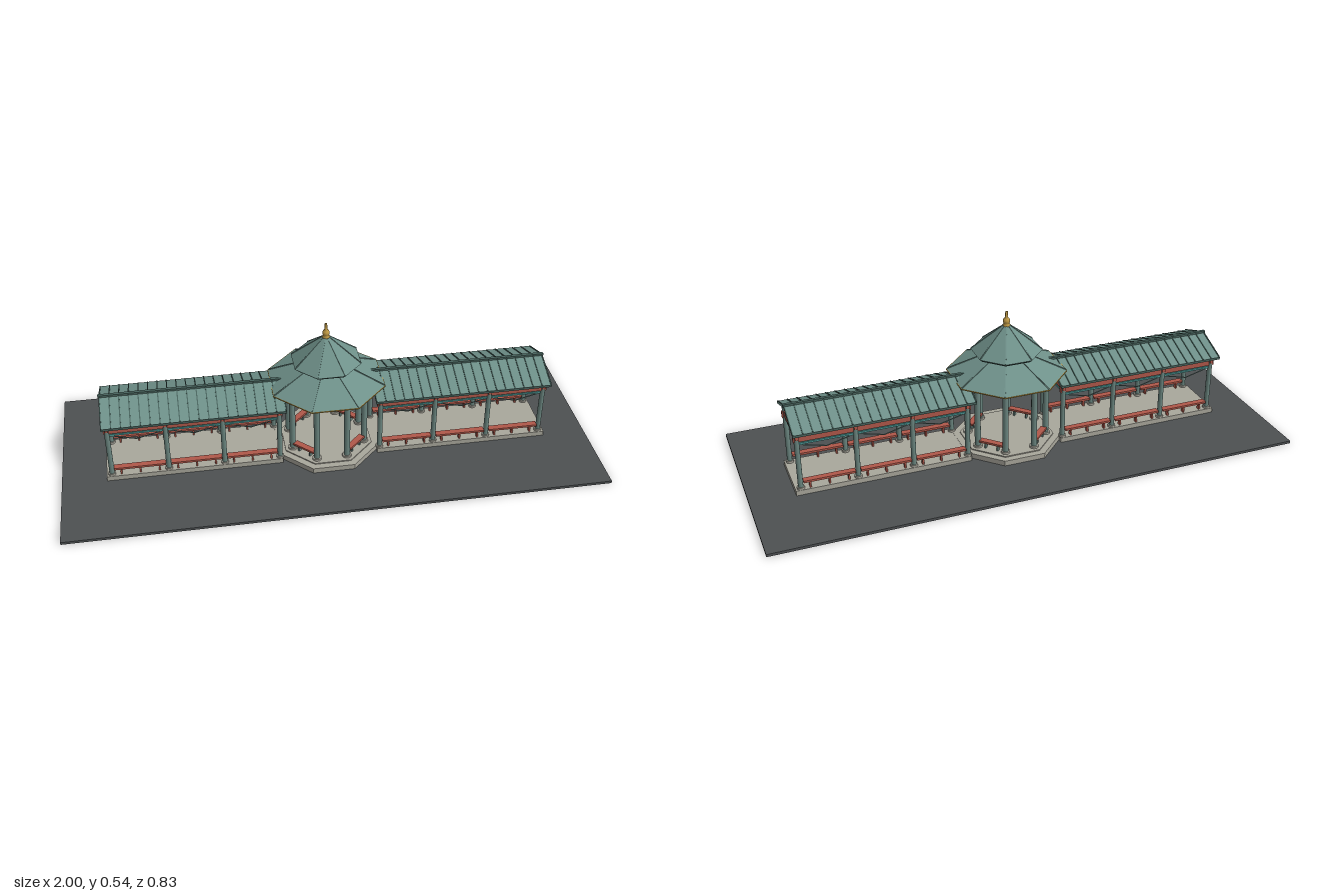
import * as THREE from 'three';

const mat = (name, color) => Object.assign(new THREE.MeshStandardMaterial({ color }), { name });
const M = {
  paving: mat('dark paving', 0x4d5052),
  stone: mat('pale stone', 0xa9a79c),
  column: mat('grey green paint', 0x6b8680),
  roof: mat('green roof tile', 0x6f918a),
  rib: mat('dark roof tile', 0x48645e),
  red: mat('red timber', 0xb0584a),
  teal: mat('teal timber', 0x4b9794),
  gold: mat('gold', 0xc09a45),
};

const COS8 = Math.cos(Math.PI / 8);

function add(parent, name, geo, material, x = 0, y = 0, z = 0) {
  const m = new THREE.Mesh(geo, material);
  m.name = name;
  m.position.set(x, y, z);
  parent.add(m);
  return m;
}

// Box given by its centre in x and z and its bottom and top heights
const box = (p, name, material, w, d, y0, y1, x = 0, z = 0) =>
  add(p, name, new THREE.BoxGeometry(w, y1 - y0, d), material, x, (y0 + y1) / 2, z);

const post = (p, name, material, r, y0, y1, x, z, sides = 14) =>
  add(p, name, new THREE.CylinderGeometry(r, r, y1 - y0, sides), material, x, (y0 + y1) / 2, z);

// Flat-faced octagonal frustum, sized by the distance from centre to its flats
function octagon(p, name, material, bottom, top, y0, y1) {
  const g = new THREE.CylinderGeometry(top / COS8, bottom / COS8, y1 - y0, 8)
    .rotateY(Math.PI / 8).toNonIndexed();
  g.computeVertexNormals();
  return add(p, name, g, material, 0, (y0 + y1) / 2, 0);
}

// Thin square bar between two points
function bar(p, name, material, a, b, t) {
  const A = new THREE.Vector3(...a), B = new THREE.Vector3(...b);
  const m = add(p, name, new THREE.BoxGeometry(t, t, A.distanceTo(B)), material);
  m.position.copy(A).add(B).multiplyScalar(0.5);
  m.lookAt(B);
  return m;
}

function footedColumn(p, r, y0, y1, x, z) {
  post(p, 'columnBase', M.stone, r * 1.5, y0, y0 + 0.008, x, z);
  post(p, 'column', M.column, r, y0, y1, x, z);
}

function createPavilion() {
  const g = new THREE.Group();
  g.name = 'pavilion';
  octagon(g, 'lowerPlatform', M.stone, 0.19, 0.19, 0.01, 0.03);
  octagon(g, 'upperPlatform', M.stone, 0.165, 0.165, 0.03, 0.034);

  // Eight sides: column, beams, bench and gilded eave
  for (let i = 0; i < 8; i++) {
    const a = (i + 0.5) * Math.PI / 4;
    footedColumn(g, 0.0115, 0.034, 0.297, 0.148 * Math.sin(a), 0.148 * Math.cos(a));
    post(g, 'upperPost', M.red, 0.0055, 0.355, 0.385, 0.074 * Math.sin(a), 0.074 * Math.cos(a), 8);

    const side = new THREE.Group();
    side.name = 'pavilionSide';
    side.rotation.y = i * Math.PI / 4;
    g.add(side);
    box(side, 'frieze', M.red, 0.108, 0.012, 0.274, 0.296, 0, 0.137);
    box(side, 'lowerRail', M.teal, 0.108, 0.007, 0.26, 0.27, 0, 0.137);
    box(side, 'goldEave', M.gold, 0.172, 0.003, 0.3, 0.304, 0, 0.2065);
    if (i % 2) {
      box(side, 'benchSeat', M.red, 0.095, 0.024, 0.056, 0.064, 0, 0.134);
      for (const x of [-0.025, 0.025]) box(side, 'benchLeg', M.column, 0.006, 0.014, 0.034, 0.056, x, 0.134);
    }
    // Hip ridges on both roofs
    const hip = (r, y) => [r / COS8 * Math.sin(a), y, r / COS8 * Math.cos(a)];
    bar(g, 'lowerHip', M.roof, hip(0.204, 0.306), hip(0.084, 0.363), 0.004);
    bar(g, 'upperHip', M.roof, hip(0.122, 0.39), hip(0.012, 0.484), 0.0035);
  }

  octagon(g, 'lowerEave', M.rib, 0.198, 0.206, 0.294, 0.304);
  octagon(g, 'lowerRoof', M.roof, 0.206, 0.084, 0.304, 0.363);
  octagon(g, 'upperEave', M.rib, 0.113, 0.123, 0.378, 0.388);
  octagon(g, 'upperRoof', M.roof, 0.123, 0.011, 0.388, 0.486);

  // Finial
  const profile = [[0, 0.478], [0.014, 0.478], [0.014, 0.488], [0.009, 0.491], [0.013, 0.498],
    [0.0135, 0.504], [0.011, 0.511], [0.005, 0.516], [0.0045, 0.54], [0, 0.54]];
  add(g, 'finial', new THREE.LatheGeometry(profile.map(([x, y]) => new THREE.Vector2(x, y)), 16), M.gold);
  return g;
}

function createCorridor(s) {
  const g = new THREE.Group();
  g.name = s > 0 ? 'leftCorridor' : 'rightCorridor';
  const columns = [0.19, 0.398, 0.606, 0.815];
  const x0 = 0.165, x1 = 0.833, mid = s * (x0 + x1) / 2, len = x1 - x0;
  box(g, 'corridorFloor', M.stone, 0.655, 0.22, 0.01, 0.029, s * 0.5075);

  for (const x of columns) {
    box(g, 'crossBeam', M.red, 0.012, 0.216, 0.23, 0.247, s * x);
    box(g, 'crossRail', M.teal, 0.007, 0.18, 0.217, 0.226, s * x);
    for (const z of [-0.095, 0.095]) footedColumn(g, 0.0095, 0.029, 0.268, s * x, z);
  }

  for (const z of [-0.095, 0.095]) {
    box(g, 'longBeam', M.red, 0.65, 0.012, 0.219, 0.243, s * 0.5025, z);
    box(g, 'longRail', M.teal, 0.625, 0.007, 0.207, 0.214, s * 0.5025, z);
    for (let i = 0; i < 3; i++) {
      const a = columns[i] + 0.01, b = columns[i + 1] - 0.01, c = (a + b) / 2;
      // Pointed valance under the rail
      bar(g, 'valance', M.column, [s * a, 0.206, z], [s * c, 0.182, z], 0.003);
      bar(g, 'valance', M.column, [s * c, 0.182, z], [s * b, 0.206, z], 0.003);
      box(g, 'benchSeat', M.red, b - a, 0.024, 0.054, 0.062, s * c, z);
      for (const t of [-0.07, 0, 0.07]) box(g, 'benchLeg', M.red, 0.006, 0.014, 0.029, 0.054, s * (c + t), z);
    }
  }

  // Gable roof cross-section pulled along the corridor
  const section = new THREE.Shape([[-0.132, 0.258], [0, 0.306], [0.132, 0.258], [0.132, 0.266],
    [0, 0.316], [-0.132, 0.266]].map(([z, y]) => new THREE.Vector2(z, y)));
  const roof = new THREE.ExtrudeGeometry(section, { depth: len, bevelEnabled: false });
  roof.translate(0, 0, -len / 2).rotateY(Math.PI / 2);
  add(g, 'corridorRoof', roof, M.roof, mid);
  box(g, 'ridgeCap', M.rib, len + 0.006, 0.012, 0.312, 0.322, mid);

  // Tile ribs and eave boards
  for (const z of [-1, 1]) {
    box(g, 'eaveBoard', M.rib, len, 0.003, 0.257, 0.266, mid, z * 0.1325);
    const n = 19;
    for (let i = 0; i <= n; i++) {
      const x = s * (x0 + 0.002 + (len - 0.004) * i / n);
      bar(g, 'tileRib', M.rib, [x, 0.267, z * 0.132], [x, 0.316, z * 0.003], 0.004);
    }
  }
  return g;
}

export function createModel() {
  const model = new THREE.Group();
  model.name = 'gardenPavilion';
  box(model, 'ground', M.paving, 2, 0.83, 0, 0.01);
  model.add(createPavilion(), createCorridor(1), createCorridor(-1));
  return model;
}
